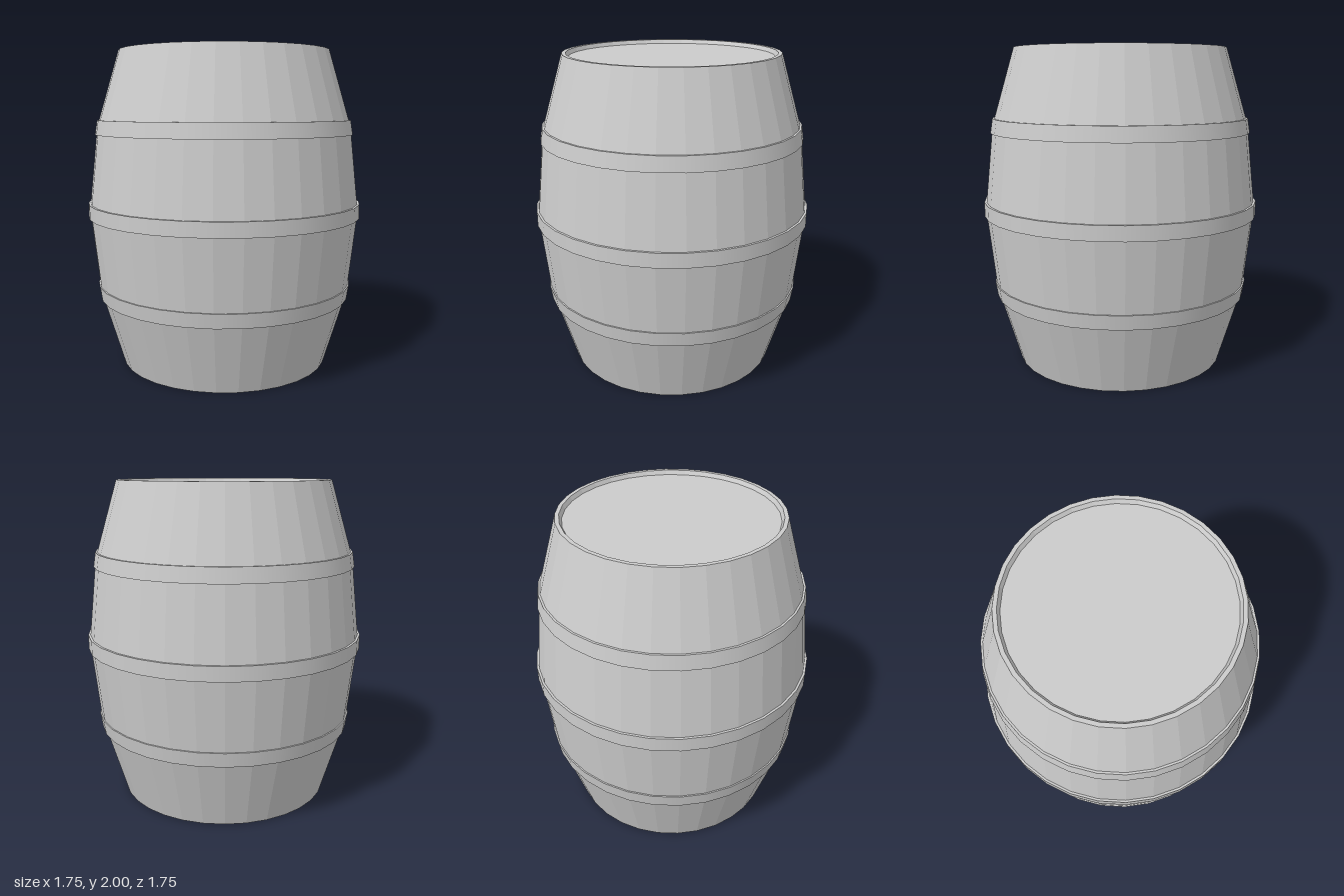
import * as THREE from 'three';

const SIDES = 32;

// Turns [radius, height] points into a surface of revolution.
function turned(name, points, flatShading) {
  const profile = points.map(([r, y]) => new THREE.Vector2(r, y));
  let geometry = new THREE.LatheGeometry(profile, SIDES);
  const material = new THREE.MeshStandardMaterial({ color: 0xcccccc, flatShading });
  const mesh = new THREE.Mesh(geometry, material);
  mesh.name = name;
  return mesh;
}

// Hoop with a rectangular section; each face has its own smooth normals.
function hoop(name, bottomRadius, topRadius, centerY) {
  const group = new THREE.Group();
  group.name = name;
  const inner = 0.78, low = centerY - 0.045, high = centerY + 0.045;
  group.add(
    turned(name + 'Underside', [[inner, low], [bottomRadius, low]], false),
    turned(name + 'Face', [[bottomRadius, low], [topRadius, high]], false),
    turned(name + 'Upperside', [[topRadius, high], [inner, high]], false),
  );
  return group;
}

export function createModel() {
  const barrel = new THREE.Group();
  barrel.name = 'barrel';

  // Faceted staves, with a flat rim at both ends
  barrel.add(turned('staves', [
    [0.628, 0.025], [0.642, 0], [0.666, 0], [0.808, 0.475], [0.865, 1],
    [0.808, 1.525], [0.666, 2], [0.642, 2], [0.628, 1.975],
  ], true));

  // Slightly recessed round lids
  barrel.add(
    turned('bottomLid', [[0, 0.025], [0.628, 0.025]], true),
    turned('topLid', [[0.628, 1.975], [0, 1.975]], true),
  );

  // Three hoops, the outer two leaning with the staves
  barrel.add(
    hoop('lowerHoop', 0.808, 0.822, 0.478),
    hoop('middleHoop', 0.874, 0.874, 1),
    hoop('upperHoop', 0.822, 0.808, 1.522),
  );
  return barrel;
}
